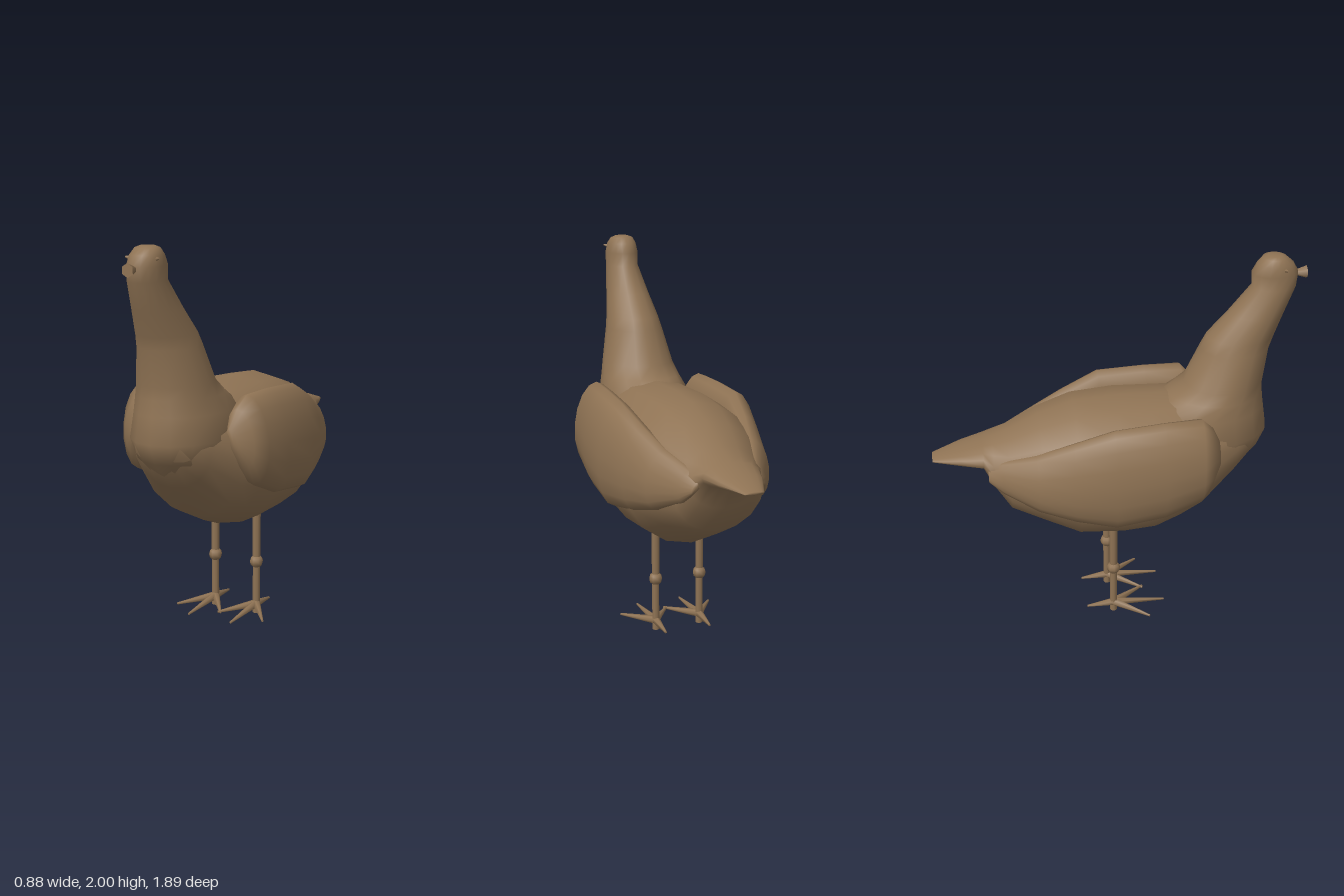
import * as THREE from 'three';

const SIDES = 16;

// Skin closed rings of points (counter-clockwise about the travel direction) and cap both ends.
function loft(rings) {
  const n = rings[0].length, pos = [], idx = [];
  rings.forEach(r => r.forEach(p => pos.push(...p)));
  for (let i = 0; i < rings.length - 1; i++) {
    for (let j = 0; j < n; j++) {
      const a = i * n + j, b = i * n + (j + 1) % n;
      idx.push(a, b, b + n, a, b + n, a + n);
    }
  }
  [rings[0], rings[rings.length - 1]].forEach((r, end) => {
    const c = pos.length / 3, base = end ? (rings.length - 1) * n : 0;
    pos.push(...[0, 1, 2].map(k => r.reduce((s, p) => s + p[k], 0) / n));
    for (let j = 0; j < n; j++) {
      const a = base + j, b = base + (j + 1) % n;
      if (end) idx.push(c, a, b); else idx.push(c, b, a);
    }
  });
  const g = new THREE.BufferGeometry();
  g.setAttribute('position', new THREE.Float32BufferAttribute(pos, 3));
  g.setIndex(idx);
  g.computeVertexNormals();
  return g;
}

const ring = f => Array.from({ length: SIDES }, (_, j) => {
  const a = j / SIDES * Math.PI * 2;
  return f(Math.cos(a), Math.sin(a));
});

// Upright section in the xy plane; lean shears the top inwards.
const sectionZ = (z, cx, rx, y0, y1, lean = 0) =>
  ring((c, s) => [cx + rx * c + lean * s, (y0 + y1) / 2 + (y1 - y0) / 2 * s, z]);

// Level section in the xz plane.
const sectionY = (y, rx, z0, z1) =>
  ring((c, s) => [rx * s, y, (z0 + z1) / 2 + (z1 - z0) / 2 * c]);

export function createModel() {
  const model = new THREE.Group();
  const brown = new THREE.MeshStandardMaterial({ color: 0x8f7354 });
  brown.name = 'plumageBrown';

  const add = (name, geometry, parent = model) => {
    const m = new THREE.Mesh(geometry, brown);
    m.name = name;
    parent.add(m);
    return m;
  };
  // Tapered rod between two points.
  const rod = (name, a, b, ra, rb, parent, sides = 8) => {
    const A = new THREE.Vector3(...a), B = new THREE.Vector3(...b), d = B.clone().sub(A);
    const m = add(name, new THREE.CylinderGeometry(rb, ra, d.length(), sides), parent);
    m.position.copy(A).add(B).multiplyScalar(0.5);
    m.quaternion.setFromUnitVectors(new THREE.Vector3(0, 1, 0), d.normalize());
    return m;
  };

  // Body and tail: z, half width, bottom, top
  add('bodyAndTail', loft([
    [-0.945, 0.05, 0.992, 1.006], [-0.8, 0.115, 0.975, 1.05], [-0.69, 0.15, 0.955, 1.08],
    [-0.64, 0.19, 0.84, 1.1], [-0.56, 0.24, 0.7, 1.13], [-0.4, 0.31, 0.62, 1.21],
    [-0.22, 0.37, 0.53, 1.27], [0, 0.39, 0.52, 1.285], [0.17, 0.38, 0.53, 1.28],
    [0.3, 0.35, 0.58, 1.28], [0.42, 0.31, 0.64, 1.26], [0.6, 0.22, 0.82, 1.24], [0.73, 0.13, 0.96, 1.18],
  ].map(([z, w, y0, y1]) => sectionZ(z, 0, w, y0, y1))));

  // Breast, neck and head: y, half width, back, front
  add('neckAndHead', loft([
    [0.82, 0.12, 0.3, 0.59], [0.97, 0.21, 0.2, 0.75], [1.07, 0.25, 0.12, 0.79], [1.2, 0.23, 0.14, 0.77],
    [1.28, 0.205, 0.27, 0.76], [1.34, 0.19, 0.35, 0.755], [1.52, 0.15, 0.43, 0.78], [1.58, 0.137, 0.46, 0.8],
    [1.7, 0.112, 0.565, 0.845], [1.84, 0.085, 0.675, 0.9], [1.91, 0.085, 0.672, 0.907],
    [1.96, 0.077, 0.7, 0.88], [1.99, 0.06, 0.725, 0.845], [2, 0.035, 0.75, 0.82],
  ].map(([y, w, z0, z1]) => sectionY(y, w, z0, z1))));

  // Beak flares outwards at the tip
  rod('beak', [0, 1.9, 0.88], [0, 1.9, 0.949], 0.01, 0.033, model, 6);

  for (const s of [1, -1]) {
    const side = s > 0 ? 'left' : 'right';

    rod(side + 'Eye', [s * 0.06, 1.94, 0.82], [s * 0.09, 1.948, 0.83], 0.012, 0.004, model, 6);

    // Folded wing: z, inner x, outer x, bottom, top
    add(side + 'Wing', loft([
      [-0.67, 0.15, 0.185, 0.94, 1.0], [-0.6, 0.14, 0.23, 0.88, 1.04], [-0.43, 0.17, 0.33, 0.8, 1.1],
      [-0.25, 0.21, 0.385, 0.75, 1.18], [-0.05, 0.23, 0.44, 0.72, 1.26], [0.2, 0.22, 0.43, 0.75, 1.275],
      [0.39, 0.21, 0.42, 0.83, 1.275], [0.45, 0.22, 0.37, 0.92, 1.21], [0.49, 0.25, 0.3, 1.0, 1.12],
    ].map(([z, x0, x1, y0, y1]) => sectionZ(z, s * (x0 + x1) / 2, (x1 - x0) / 2, y0, y1, -s * 0.02))));

    // Leg and foot
    const leg = new THREE.Group();
    leg.name = side + 'Leg';
    leg.position.set(s * 0.125, 0, -0.03);
    model.add(leg);
    rod('upperLeg', [0, 0.285, 0], [0, 0.58, 0], 0.021, 0.023, leg);
    add('knee', new THREE.SphereGeometry(0.036, 8, 6), leg).position.y = 0.285;
    rod('lowerLeg', [0, 0, 0], [0, 0.285, 0], 0.02, 0.02, leg);
    for (const [x, z] of [[0, 0.28], [0.133, 0.18], [-0.133, 0.18], [0, -0.145]])
      rod('toe', [0, 0.05, 0], [x, 0.035, z], 0.022, 0.006, leg, 6);
  }
  return model;
}
